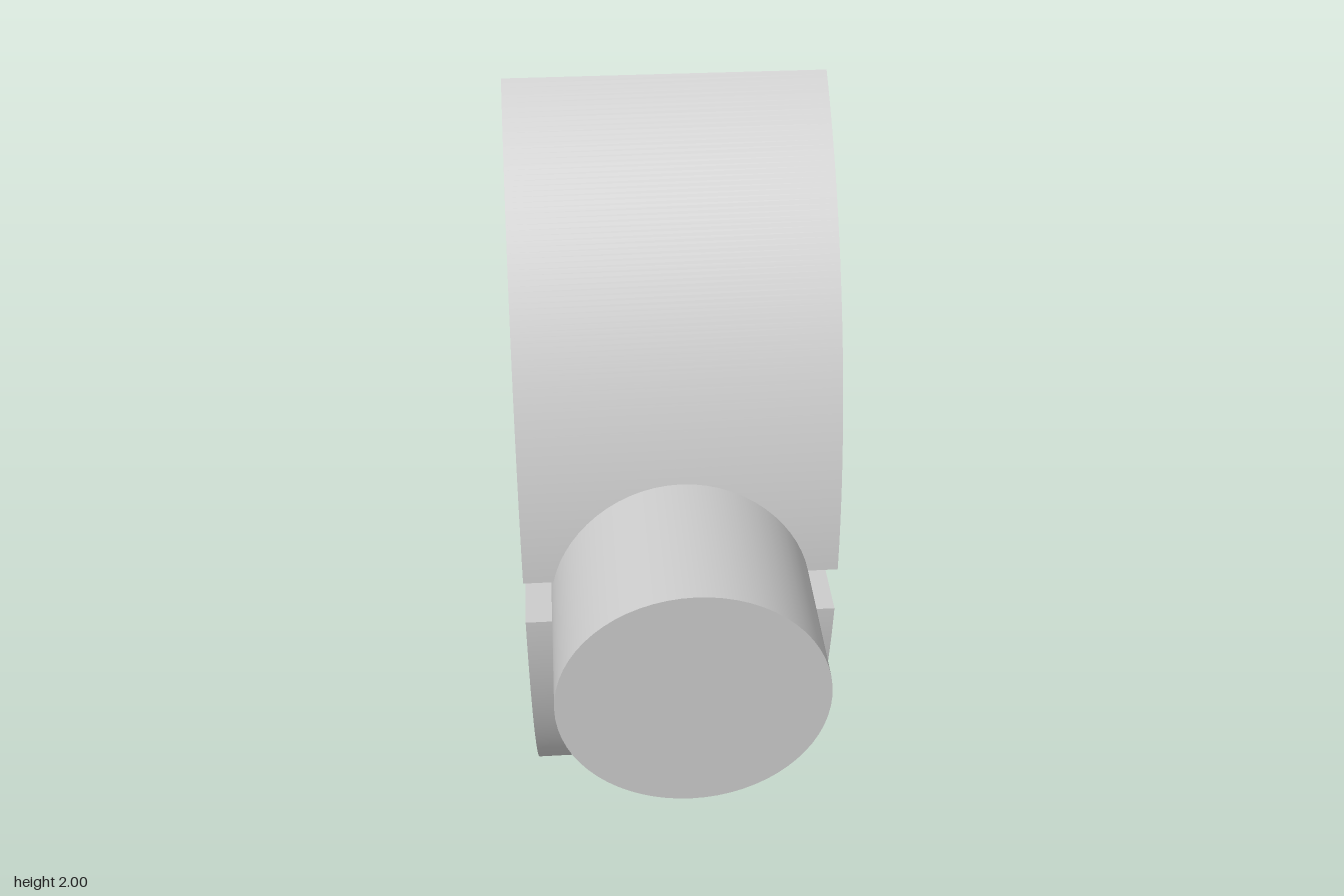
import * as THREE from 'three';
import { toCreasedNormals } from 'three/addons/utils/BufferGeometryUtils.js';

const WIDTH = 0.69;
const HUB_Z = -0.57;   // shared centre of the bore, the hub and the front face
const MID_Y = 1;
const FACE_R = 1.212;
const HUB_R = 0.4;
const BORE_R = 0.222;
const SLOT_HALF = 0.057;
const SLOT_Z = 0.48;
const PIN_R = 0.285;

// Side outline, drawn with z as the first axis and y as the second
function sideProfile() {
  const tip = Math.asin(1 / FACE_R);
  const slot = Math.asin(SLOT_HALF / FACE_R);
  const tangent = 1.951;
  const shape = new THREE.Shape();
  // curved front face, split by the slot
  shape.absarc(HUB_Z, MID_Y, FACE_R, -tip, -slot, false);
  shape.lineTo(SLOT_Z, MID_Y - SLOT_HALF);
  shape.lineTo(SLOT_Z, MID_Y + SLOT_HALF);
  shape.absarc(HUB_Z, MID_Y, FACE_R, slot, tip, false);
  // shoulder, tapered arm and rounded hub
  shape.lineTo(-0.055, MID_Y + 0.635);
  shape.absarc(HUB_Z, MID_Y, HUB_R, tangent, 2 * Math.PI - tangent, false);
  shape.lineTo(-0.055, MID_Y - 0.635);
  shape.closePath();

  const bore = new THREE.Path();
  bore.absarc(HUB_Z, MID_Y, BORE_R, 0, Math.PI * 2, true);
  shape.holes.push(bore);
  return shape;
}

export function createModel() {
  const model = new THREE.Group();
  model.name = 'pivotingSector';
  const material = new THREE.MeshStandardMaterial({ color: 0xcccccc });

  // Slotted sector body with bored hub
  const bodyGeometry = new THREE.ExtrudeGeometry(sideProfile(), {
    depth: WIDTH, bevelEnabled: false, curveSegments: 48,
  });
  bodyGeometry.translate(0, 0, -WIDTH / 2);
  bodyGeometry.rotateY(-Math.PI / 2);
  const body = new THREE.Mesh(toCreasedNormals(bodyGeometry, 0.35), material);
  body.name = 'sectorBody';
  model.add(body);

  // Round pin, seated in the body and bridging the slot
  const pinBack = SLOT_Z - 0.02, pinFront = 0.97;
  const pinGeometry = new THREE.CylinderGeometry(PIN_R, PIN_R, pinFront - pinBack, 64);
  pinGeometry.rotateX(Math.PI / 2);
  const pin = new THREE.Mesh(pinGeometry, material);
  pin.name = 'frontPin';
  pin.position.set(0, MID_Y, (pinFront + pinBack) / 2);
  model.add(pin);

  return model;
}
